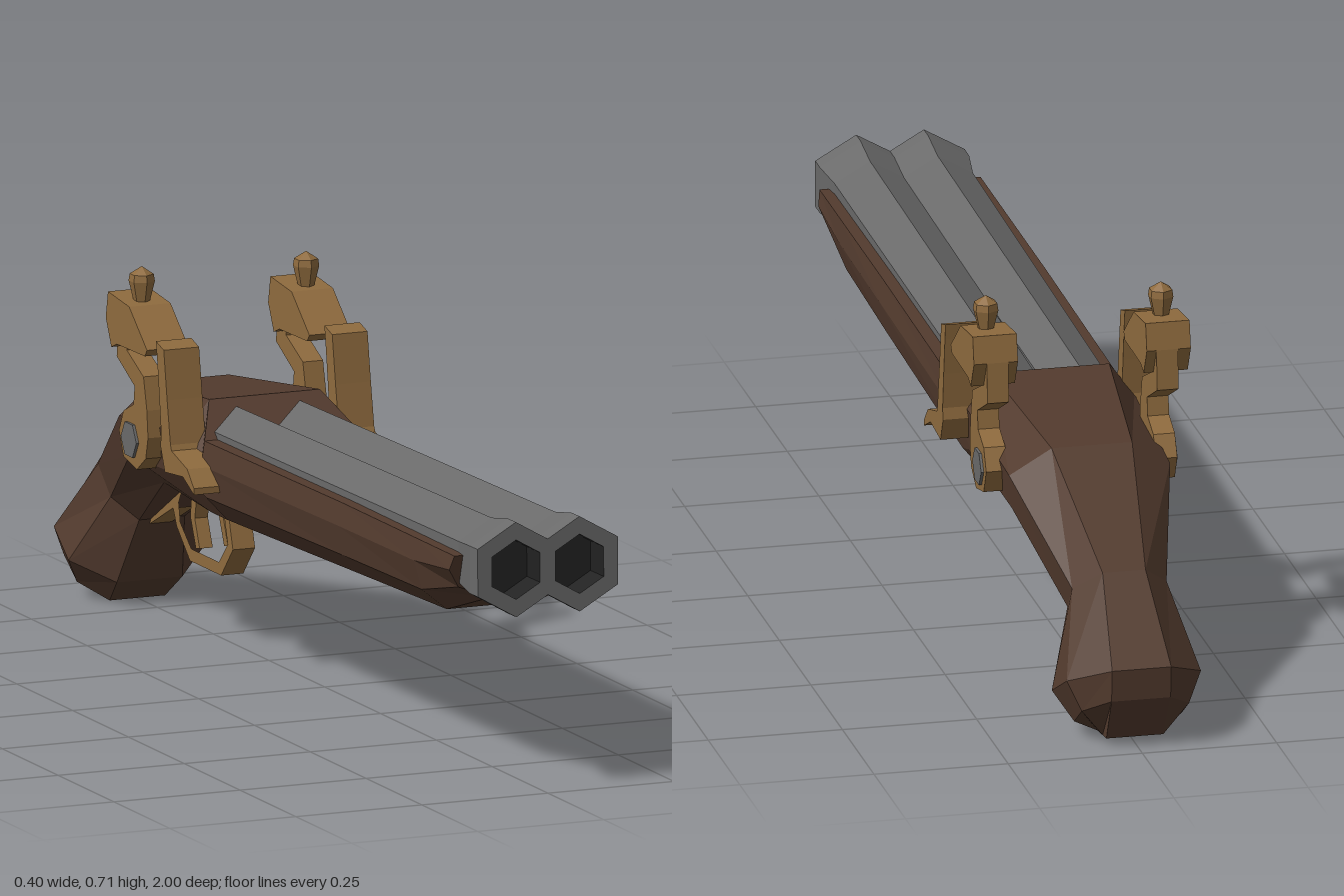
import * as THREE from 'three';

const mat = (color) => new THREE.MeshStandardMaterial({ color, flatShading: true });

export function createModel() {
  const model = new THREE.Group();
  model.name = 'doubleBarrelPistol';
  const wood = mat(0x533b2e), brass = mat(0x8f6b3e), steel = mat(0x6a6a6a), dark = mat(0x222222);

  const add = (name, geometry, material, parent = model) => {
    const mesh = new THREE.Mesh(geometry, material);
    mesh.name = name;
    parent.add(mesh);
    return mesh;
  };

  // Side profile given as [z, y] points, extruded across x from x0 to x1
  const plate = (points, x0, x1, hole) => {
    const toVec = (p) => new THREE.Vector2(p[0], p[1]);
    const shape = new THREE.Shape(points.map(toVec));
    if (hole) shape.holes.push(new THREE.Path(hole.map(toVec)));
    const g = new THREE.ExtrudeGeometry(shape, { depth: x1 - x0, bevelEnabled: false });
    return g.rotateY(-Math.PI / 2).translate(x1, 0, 0);
  };

  const hexLathe = (profile) =>
    new THREE.LatheGeometry(profile.map((p) => new THREE.Vector2(p[0], p[1])), 6);

  // Stock: eight-sided sections [topZ, topY, bottomZ, bottomY, four half widths from top to bottom]
  const sections = [
    [0.92, 0.437, 0.88, 0.345, 0.15, 0.155, 0.13, 0.06],
    [0.75, 0.437, 0.75, 0.3, 0.15, 0.155, 0.14, 0.09],
    [0.41, 0.437, 0.41, 0.295, 0.15, 0.157, 0.145, 0.1],
    [-0.2, 0.43, -0.2, 0.28, 0.15, 0.157, 0.147, 0.105],
    [-0.27, 0.49, -0.27, 0.28, 0.11, 0.157, 0.147, 0.105],
    [-0.6, 0.455, -0.54, 0.28, 0.075, 0.15, 0.14, 0.08],
    [-0.855, 0.3, -0.73, 0.17, 0.04, 0.088, 0.085, 0.045],
    [-0.995, 0.16, -0.785, 0.045, 0.055, 0.125, 0.133, 0.065],
    [-0.99, 0.1, -0.84, 0.0, 0.055, 0.1, 0.1, 0.055],
    [-0.94, 0.012, -0.84, 0.0, 0.053, 0.053, 0.053, 0.053],
  ];
  const drop = [0, 0.3, 0.7, 1];
  const positions = [], index = [];
  for (const [zt, yt, zb, yb, ...w] of sections) {
    for (let j = 0; j < 8; j++) {
      const k = j < 4 ? j : 7 - j;
      positions.push(j < 4 ? w[k] : -w[k],
        THREE.MathUtils.lerp(yt, yb, drop[k]), THREE.MathUtils.lerp(zt, zb, drop[k]));
    }
  }
  const last = (sections.length - 1) * 8;
  for (let i = 0; i < last; i += 8) {
    for (let j = 0; j < 8; j++) {
      const a = i + j, b = i + (j + 1) % 8;
      index.push(a, b, b + 8, a, b + 8, a + 8);
    }
  }
  for (let j = 1; j < 7; j++) {
    index.push(0, j + 1, j, last, last + j, last + j + 1);
  }
  const stock = new THREE.BufferGeometry();
  stock.setAttribute('position', new THREE.Float32BufferAttribute(positions, 3));
  stock.setIndex(index);
  stock.computeVertexNormals();
  add('stock', stock, wood);

  for (const side of [1, -1]) {
    const sideName = side > 0 ? 'left' : 'right';

    // Hexagonal barrel with flared muzzle and dark bore
    const barrel = new THREE.Group();
    barrel.name = sideName + 'Barrel';
    barrel.position.set(side * 0.063, 0.42, 1);
    barrel.rotation.x = Math.PI / 2 - 0.011;
    model.add(barrel);
    add('barrelTube', hexLathe([[0, -1.27], [0.07, -1.27], [0.076, -0.11], [0.088, -0.035],
      [0.088, 0], [0.055, 0]]), steel, barrel);
    add('bore', hexLathe([[0.055, 0], [0.055, -0.06], [0, -0.06]]), dark, barrel);

    // Lock parts, mirrored by swapping the x range
    const lock = new THREE.Group();
    lock.name = sideName + 'Lock';
    model.add(lock);
    const lockPlate = (name, points, a, b) =>
      add(name, side > 0 ? plate(points, a, b) : plate(points, -b, -a), brass, lock);

    lockPlate('pan', [[-0.13, 0.36], [-0.16, 0.39], [-0.23, 0.41], [-0.25, 0.45], [-0.275, 0.44],
      [-0.28, 0.41], [-0.26, 0.365], [-0.18, 0.372], [-0.13, 0.348]], 0.12, 0.202);
    lockPlate('striker', [[-0.235, 0.42], [-0.25, 0.5], [-0.265, 0.59], [-0.3, 0.6],
      [-0.295, 0.57], [-0.285, 0.5], [-0.275, 0.42]], 0.132, 0.202);
    lockPlate('hammer', [[-0.4, 0.36], [-0.44, 0.332], [-0.5, 0.345], [-0.52, 0.39], [-0.5, 0.43],
      [-0.455, 0.45], [-0.45, 0.485], [-0.53, 0.525], [-0.525, 0.6], [-0.48, 0.6],
      [-0.485, 0.545], [-0.41, 0.51], [-0.395, 0.45], [-0.39, 0.4]], 0.138, 0.178);
    lockPlate('hammerJaw', [[-0.34, 0.575], [-0.42, 0.64], [-0.515, 0.65], [-0.525, 0.6],
      [-0.5, 0.55], [-0.475, 0.56], [-0.35, 0.562]], 0.12, 0.202);

    const screw = add('jawScrew', hexLathe([[0, 0], [0.013, 0], [0.024, 0.045], [0.022, 0.058],
      [0, 0.072]]), brass, lock);
    screw.position.set(side * 0.163, 0.634, -0.452);
    const bolt = add('hammerBolt', new THREE.CylinderGeometry(0.035, 0.035, 0.07, 6), steel, lock);
    bolt.rotation.z = Math.PI / 2;
    bolt.position.set(side * 0.148, 0.383, -0.466);

    // One curved trigger per barrel
    add(sideName + 'Trigger', plate([[-0.475, 0.29], [-0.49, 0.22], [-0.468, 0.168],
      [-0.485, 0.165], [-0.51, 0.22], [-0.5, 0.29]], side * 0.028 - 0.013, side * 0.028 + 0.013), brass);
  }

  // Trigger guard with tail strip along the grip
  add('triggerGuard', plate([[-0.2, 0.285], [-0.2, 0.272], [-0.385, 0.258], [-0.362, 0.185],
    [-0.415, 0.127], [-0.555, 0.127], [-0.615, 0.18], [-0.63, 0.21], [-0.735, 0.16],
    [-0.735, 0.18], [-0.62, 0.28], [-0.4, 0.29]], -0.022, 0.022,
  [[-0.41, 0.268], [-0.385, 0.19], [-0.425, 0.15], [-0.548, 0.15], [-0.598, 0.19],
    [-0.605, 0.225], [-0.58, 0.268]]), brass);

  return model;
}
